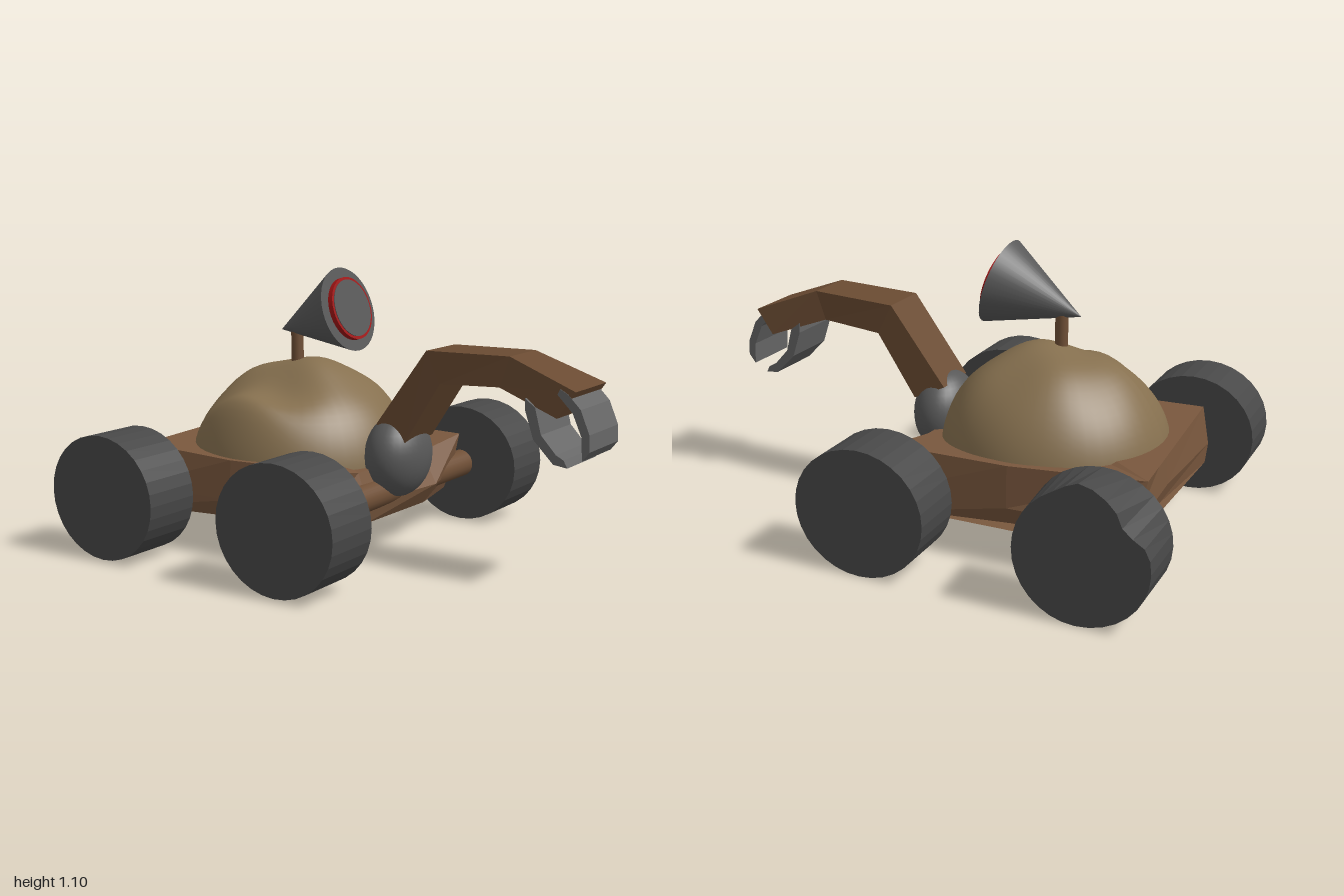
import * as THREE from 'three';

const paint = (color, flat = false) =>
  new THREE.MeshStandardMaterial({ color, flatShading: flat, side: THREE.DoubleSide });

const chassisMat = paint(0x7a583e, true);
const domeMat = paint(0x86704f);
const axleMat = paint(0x6f4f36);
const armMat = paint(0x6a4b32, true);
const tyreMat = paint(0x484848, true);
const steelMat = paint(0x585858);
const clawMat = paint(0x666666, true);
const redMat = paint(0xa01414);

function part(name, geometry, material) {
  const mesh = new THREE.Mesh(geometry, material);
  mesh.name = name;
  return mesh;
}

// Moves every vertex of a geometry by a rule
function bend(geometry, rule) {
  const p = geometry.attributes.position;
  const v = new THREE.Vector3();
  for (let i = 0; i < p.count; i++) {
    v.fromBufferAttribute(p, i);
    rule(v);
    p.setXYZ(i, v.x, v.y, v.z);
  }
  geometry.computeVertexNormals();
  return geometry;
}

// Skins a stack of closed loops with equal point counts and caps both ends
function loft(rings) {
  const n = rings[0].length;
  const index = [];
  for (let r = 0; r < rings.length - 1; r++) {
    for (let i = 0; i < n; i++) {
      const a = r * n + i, b = r * n + (i + 1) % n;
      index.push(a, a + n, b, b, a + n, b + n);
    }
  }
  const last = (rings.length - 1) * n;
  for (let i = 1; i < n - 1; i++) {
    index.push(0, i, i + 1, last, last + i + 1, last + i);
  }
  const g = new THREE.BufferGeometry();
  g.setAttribute('position', new THREE.Float32BufferAttribute(rings.flat(2), 3));
  g.setIndex(index);
  g.computeVertexNormals();
  return g;
}

// Wheel lying along z; a dented one has a bumped and folded outer rim
function wheel(name, x, side, dented) {
  const g = new THREE.CylinderGeometry(0.25, 0.25, 0.235, 32).rotateX(Math.PI / 2);
  bend(g, v => {
    v.x *= 1.035;
    v.y *= 0.975;
    if (dented && v.z * side > 0 && Math.hypot(v.x, v.y) > 0.1) {
      const angle = Math.atan2(v.y, v.x);
      const bump = Math.exp(-(((angle - 1.6) / 0.3) ** 2));
      const fold = Math.exp(-(((angle - 2.45) / 0.25) ** 2));
      v.y += 0.03 * bump - 0.03 * fold;
      v.x += 0.03 * fold - (v.x > 0 ? 0.09 * v.x : 0);
    }
  });
  const mesh = part(name, g, tyreMat);
  mesh.position.set(x, 0.244, side * 0.648);
  return mesh;
}

// Flat curved plate: a side profile in x and y, extruded across z
function claw(name, points) {
  const shape = new THREE.Shape(points.map(p => new THREE.Vector2(...p)));
  const g = new THREE.ExtrudeGeometry(shape, { depth: 0.24, bevelEnabled: false });
  return part(name, g.translate(0, 0, -0.09), clawMat);
}

export function createModel() {
  const model = new THREE.Group();
  model.name = 'rover';

  // Battered chassis: underside, waist and deck outlines
  const outline = (y, pts) => pts.map(([x, z, dy = 0]) => [x, y + dy, z]);
  model.add(part('chassis', loft([
    outline(0.145, [[-0.8, -0.46], [-0.35, -0.4], [0.05, -0.46], [0.11, -0.2], [0.1, 0.2],
      [0.05, 0.48], [-0.35, 0.4], [-0.82, 0.48], [-0.78, 0]]),
    outline(0.23, [[-0.83, -0.46], [-0.35, -0.46], [0.09, -0.46], [0.17, -0.2], [0.12, 0.22],
      [0.08, 0.47], [-0.35, 0.47], [-0.83, 0.48], [-0.81, 0]]),
    outline(0.375, [[-0.86, -0.4, 0.03], [-0.35, -0.46, 0.02], [0.13, -0.45, 0.015], [0.1, -0.2, -0.02],
      [0.08, 0.22, -0.03], [0.11, 0.4, 0.01], [-0.35, 0.46, 0.01], [-0.81, 0.45, 0.02], [-0.8, 0]]),
  ]).toNonIndexed(), chassisMat));

  // Dome with a dent and a bulge on its front flank
  const dome = new THREE.SphereGeometry(0.445, 48, 20, 0, Math.PI * 2, 0, Math.PI / 2);
  bend(dome, v => {
    const near = Math.exp(-(((v.x + 0.03) / 0.28) ** 2));
    const high = v.y / 0.445;
    v.y *= 0.96;
    v.y += high * near * (0.08 * Math.exp(-(((v.z - 0.38) / 0.07) ** 2))
      - 0.07 * Math.exp(-(((v.z - 0.2) / 0.11) ** 2)));
    v.y += 0.012 * high * Math.sin(v.x * 17) * Math.cos(v.z * 13);
  });
  const domeMesh = part('dome', dome, domeMat);
  domeMesh.position.set(-0.355, 0.3, 0);
  model.add(domeMesh);

  // Axles and wheels
  for (const [end, x] of [['rear', -0.74], ['front', 0.092]]) {
    const axle = part(end + 'Axle',
      new THREE.CylinderGeometry(0.056, 0.056, 1.1, 24).rotateX(Math.PI / 2), axleMat);
    axle.position.set(x, 0.245, 0);
    model.add(axle);
    for (const side of [-1, 1]) {
      model.add(wheel(end + (side > 0 ? 'NearWheel' : 'FarWheel'), x, side, end === 'rear' && side < 0));
    }
  }

  // Mast with a cone-shaped lamp, built along +y and tipped towards +x
  const mast = part('mast', new THREE.CylinderGeometry(0.025, 0.025, 0.2, 20), axleMat);
  mast.position.set(-0.365, 0.76, 0.01);
  const lamp = new THREE.Group();
  lamp.name = 'lamp';
  const cone = part('lampCone', new THREE.CylinderGeometry(0.168, 0.001, 0.345, 40), steelMat);
  cone.position.y = -0.1725;
  const rim = part('lampRim', new THREE.CylinderGeometry(0.125, 0.125, 0.024, 40), redMat);
  rim.position.y = 0.008;
  const lens = part('lampLens', new THREE.CylinderGeometry(0.114, 0.114, 0.006, 40), steelMat);
  lens.position.y = 0.02;
  lamp.add(cone, rim, lens);
  lamp.position.set(-0.11, 0.94, 0.013);
  lamp.rotation.z = -Math.PI / 2 + 0.3;
  model.add(mast, lamp);

  // Shoulder ball
  const shoulder = part('shoulder', new THREE.SphereGeometry(0.165, 32, 20), steelMat);
  shoulder.scale.x = 0.72;
  shoulder.position.set(0.125, 0.385, 0.01);
  model.add(shoulder);

  // Arm: four rectangular sections [upper x, y, lower x, y, z min, z max]
  const sections = [
    [0.08, 0.515, 0.21, 0.455, -0.1, 0.1],
    [0.31, 0.82, 0.37, 0.7, -0.1, 0.11],
    [0.67, 0.83, 0.63, 0.715, -0.07, 0.13],
    [0.94, 0.73, 0.87, 0.63, -0.1, 0.15],
  ];
  model.add(part('arm', loft(sections.map(([ux, uy, lx, ly, a, b]) =>
    [[ux, uy, a], [ux, uy, b], [lx, ly, b], [lx, ly, a]])).toNonIndexed(), armMat));

  // Gripper plates
  model.add(claw('innerClaw', [[0.745, 0.69], [0.745, 0.65], [0.78, 0.545], [0.86, 0.465], [0.915, 0.458],
    [0.9, 0.485], [0.87, 0.5], [0.81, 0.565], [0.785, 0.66]]));
  model.add(claw('outerClaw', [[0.87, 0.715], [0.93, 0.655], [0.965, 0.575], [0.97, 0.49], [0.998, 0.525],
    [0.995, 0.585], [0.96, 0.67], [0.91, 0.72], [0.88, 0.735]]));

  return model;
}
